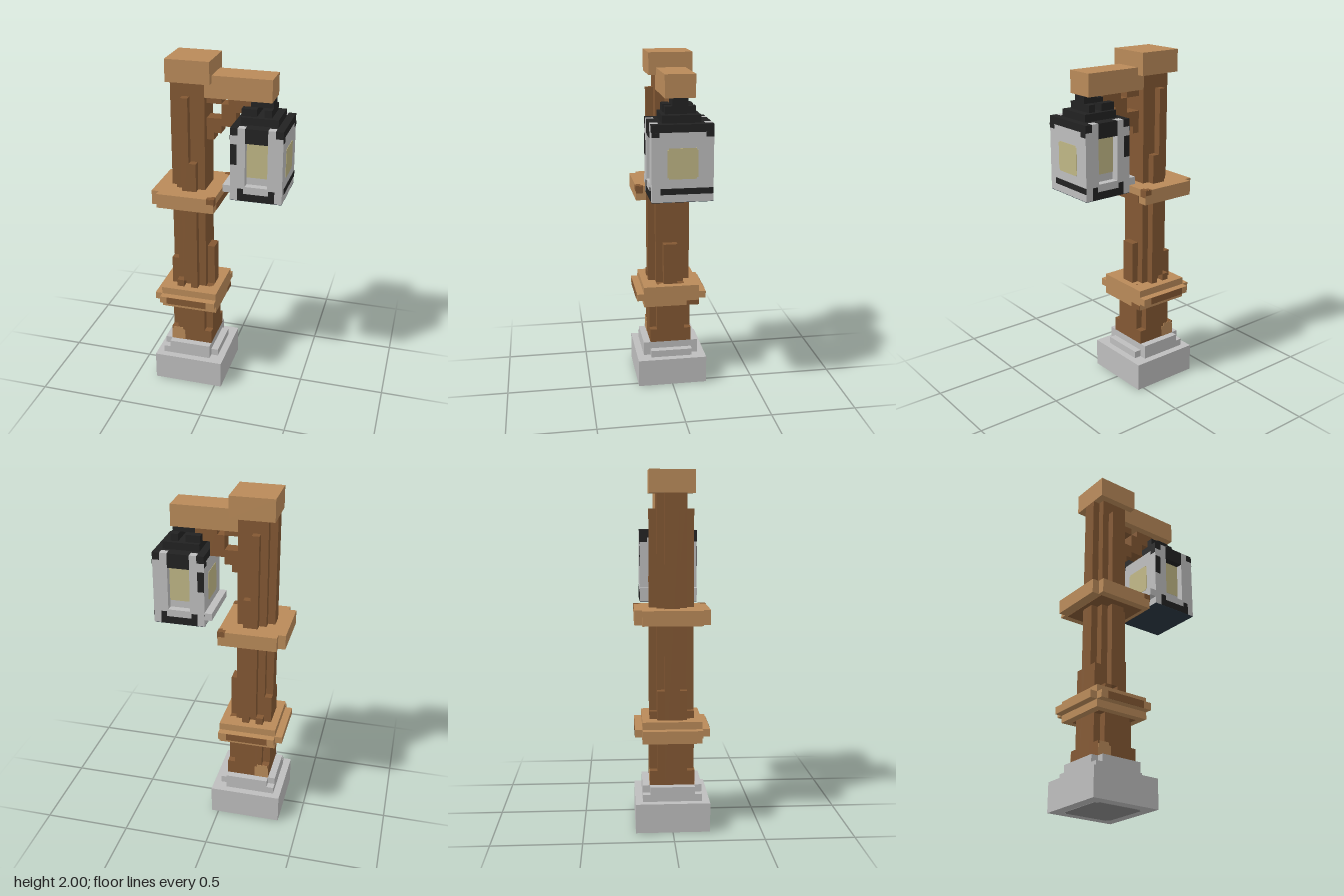
import * as THREE from 'three';

const U = 1 / 24; // one block

const mat = (name, color) => Object.assign(new THREE.MeshStandardMaterial({ color }), { name });

export function createModel() {
  const root = new THREE.Group();
  root.name = 'lampPost';
  const tan = mat('lightWood', 0xb98a59);
  const brown = mat('darkWood', 0x835833);
  const grey = mat('stoneGrey', 0xbdbdbd);
  const darkGrey = mat('undersideGrey', 0x8a8a8a);
  const black = mat('blackIron', 0x222222);
  const yellow = mat('paleGlow', 0xbfb685);
  const navy = mat('darkBlueIron', 0x2a3742);

  const group = (name) => {
    const g = new THREE.Group();
    g.name = name;
    root.add(g);
    return g;
  };
  // box between two corners, given in blocks
  const box = (g, name, m, x0, x1, y0, y1, z0, z1) => {
    const geo = new THREE.BoxGeometry((x1 - x0) * U, (y1 - y0) * U, (z1 - z0) * U);
    geo.translate((x0 + x1) / 2 * U, (y0 + y1) / 2 * U, (z0 + z1) / 2 * U);
    const mesh = new THREE.Mesh(geo, m);
    mesh.name = name;
    g.add(mesh);
  };
  const E = 0.05; // thickness of painted plates
  // painted plates: on a z face, an x face and an underside
  const paintZ = (g, name, m, s, z, x0, x1, y0, y1) =>
    box(g, name, m, x0, x1, y0, y1, Math.min(s * z, s * (z + E)), Math.max(s * z, s * (z + E)));
  const paintX = (g, name, m, s, x, y0, y1, z0, z1) =>
    box(g, name, m, Math.min(x, x + s * E), Math.max(x, x + s * E), y0, y1, z0, z1);
  const paintUnder = (g, name, m, y, x0, x1, z0, z1) => box(g, name, m, x0, x1, y - E, y, z0, z1);

  // stone base
  const base = group('base');
  box(base, 'plinth', grey, -9, 1, 0, 4, -5, 5);
  box(base, 'lowerStep', grey, -8, -1, 4, 5, -4, 4);
  box(base, 'upperStep', grey, -7, -1, 5, 6, -4, 4);
  box(base, 'upperStepSide', grey, -8, -7, 5, 6, -3, 3);
  box(base, 'sideStep', grey, -1, 0, 4, 5, -3, 3);
  paintUnder(base, 'undersidePatch', darkGrey, 0, -7.6, -0.4, -3.2, 3.2);
  paintUnder(base, 'undersidePatch', darkGrey, 0, -7.2, -0.8, -3.6, 3.6);

  // post core with raised planks of varied length
  const post = group('post');
  box(post, 'core', brown, -6, -2, 6, 45, -2, 2);
  for (const s of [1, -1]) {
    const plank = (x0, x1, y0, y1) =>
      box(post, 'plank', brown, x0, x1, y0, y1, s > 0 ? 2 : -3, s > 0 ? 3 : -2);
    plank(-5, -4, 16, 43);
    plank(-4, -3, 12, 34);
    plank(-6, -5, 6, 16);
    plank(-3, -2, 6, 12);
    plank(-5, -3, 6, 12);
    box(post, 'cornerPlank', brown, -7, -6, 6, 19, Math.min(s, 2 * s), Math.max(s, 2 * s));
    box(post, 'cornerFoot', brown, -2, -1, 6, 8, Math.min(2 * s, 3 * s), Math.max(2 * s, 3 * s));
    box(post, 'lowCornerPlank', brown, -2, -1, 6, 15, Math.min(s, 2 * s), Math.max(s, 2 * s));
    box(post, 'cornerFoot', brown, -7, -6, 6, 8, Math.min(2 * s, 3 * s), Math.max(2 * s, 3 * s));
    paintZ(post, 'footPatch', tan, s, 3, -7, -5, 6, 7.6);
    paintZ(post, 'footPatch', tan, s, 3, -6.8, -5.3, 7.6, 8);
  }
  box(post, 'leftPlank', brown, -7, -6, 6, 45, -1, 1);
  box(post, 'rightPlank', brown, -2, -1, 6, 21, -1, 1);
  box(post, 'cap', tan, -7, -1, 45, 48, -3, 3);

  // lower collar, three layers
  const low = group('lowerCollar');
  box(low, 'body', tan, -8, 0, 12, 15, -4, 4);
  box(low, 'middleBand', tan, -8, 0, 13, 14, -5, 5);
  box(low, 'middleBandEnd', tan, -9, -8, 13, 14, -4, 4);
  for (const s of [1, -1]) paintZ(low, 'darkStrip', brown, s, 5, -7, -1.2, 13, 14);
  paintX(low, 'darkCorner', brown, 1, 0, 12, 12.7, -4, -2.2);
  paintUnder(low, 'undersidePatch', brown, 12, -7, -1, -3, 3);

  // upper collar
  const up = group('upperCollar');
  box(up, 'body', tan, -8, 0, 28, 30, -5, 5);
  box(up, 'end', tan, -9, -8, 28, 30, -4, 4);
  for (const s of [1, -1]) {
    const z = (a, b) => [Math.min(s * a, s * b), Math.max(s * a, s * b)];
    box(up, 'darkCorner', brown, -1, 0, 30, 30 + E, ...z(4.3, 5));
    box(up, 'darkCorner', brown, -0.5, 0, 30, 30 + E, ...z(4, 4.3));
    paintZ(up, 'darkCorner', brown, s, 5, -1, 0, 29.3, 30);
    paintX(up, 'darkCorner', brown, 1, 0, 29, 30, ...z(4, 5));
  }
  paintX(up, 'darkStrip', brown, 1, 0, 28, 29, -3.6, 3.6);
  paintUnder(up, 'undersidePatch', brown, 28, -7.6, -0.6, -4, 4);

  // arm and stepped brace
  const arm = group('arm');
  box(arm, 'beam', tan, -2, 7, 43, 46, -2, 2);
  box(arm, 'beamSupport', brown, -2, 0, 42, 43, -1, 1);
  const steps = [[37, 40], [38, 40], [39, 42], [39, 43], [41, 43], [42, 43]];
  steps.forEach(([a, b], i) => box(arm, 'braceStep', brown, i - 2, i - 1, a, b, -1, 1));

  // lantern body
  const lamp = group('lantern');
  box(lamp, 'body', grey, 2, 9, 30, 39, -3, 3);
  box(lamp, 'sideLedge', grey, 1, 2, 31, 32, -4, 4);
  for (const s of [1, -1]) {
    const z = [Math.min(3 * s, 4 * s), Math.max(3 * s, 4 * s)];
    for (const x of [2, 7]) box(lamp, 'pillar', grey, x, x + 2, 30, 39, ...z);
    for (const x of [3, 7]) box(lamp, 'pillarTop', grey, x, x + 1, 39, 40, ...z);
    box(lamp, 'sill', grey, 4, 7, 30, 32, ...z);
    box(lamp, 'lintel', black, 4, 7, 38, 40, ...z);
    for (const x of [2, 8]) box(lamp, 'roofCorner', black, x, x + 1, 39, 40, ...z);
    paintZ(lamp, 'windowGlow', yellow, s, 3, 4, 7, 33, 38);
    paintZ(lamp, 'bottomTrim', black, s, 4, 3, 8, 30, 31);
    for (const x of [3, 7.2]) paintZ(lamp, 'bottomTrimEnd', black, s, 4, x, x + 0.8, 31, 31.7);
    paintZ(lamp, 'hinge', black, s, 4, 2, 2.9, 35, 37.8);
  }
  // glowing panes and trim on the side faces
  for (const [s, x] of [[1, 9], [-1, 2]]) {
    paintX(lamp, 'sidePane', yellow, s, x, 33.2, 36.8, -2, 2);
    paintX(lamp, 'sidePane', yellow, s, x, 33, 37, -1.8, 1.8);
    paintX(lamp, 'sideTrim', black, s, x, 31, 31.8, -4, 2.9);
    for (const z of [-4, 3]) paintX(lamp, 'sideCorner', black, s, x, 38.4, 39, z, z + 1);
  }
  paintUnder(lamp, 'underside', navy, 30, 2, 9, -4, 4);

  // stepped lantern roof and hanging loop
  const roof = group('lanternRoof');
  box(roof, 'eaves', black, 2, 9, 39, 40, -3, 3);
  box(roof, 'middleTier', black, 3, 8, 40, 41, -2.5, 2.5);
  for (const x of [3, 6]) box(roof, 'loopSide', black, x, x === 3 ? 5 : 7, 41, 42, -2, 2);
  box(roof, 'loopTop', black, 5, 7, 42, 43, -1, 1);
  box(roof, 'loopEnd', black, 4, 5, 42, 42.6, -1, 1);
  return root;
}
